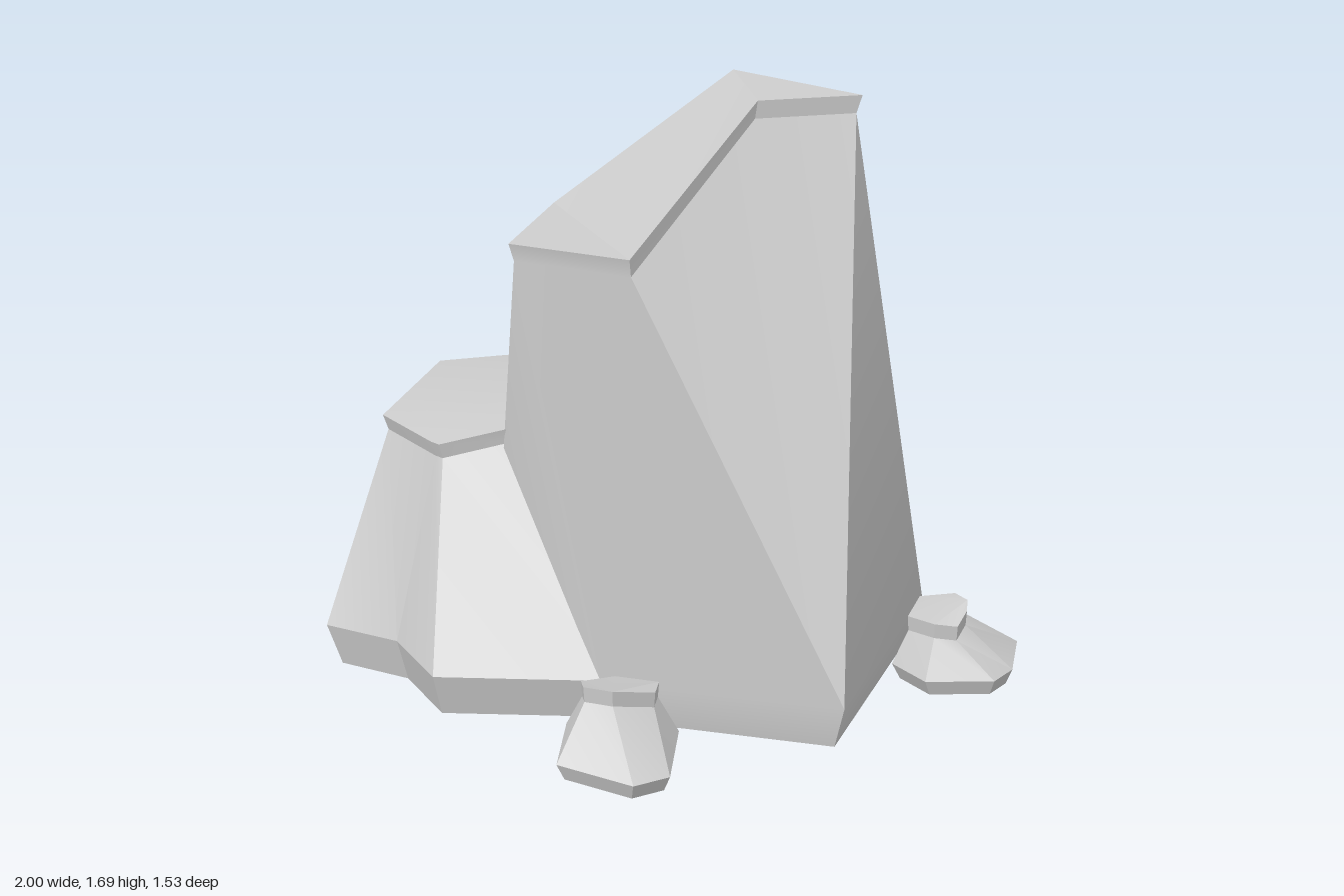
import * as THREE from 'three';
import { toCreasedNormals } from 'three/addons/utils/BufferGeometryUtils.js';

// Shrinks a ring of [x, y, z] corners towards its middle and sets new heights
function inset(ring, scale, height) {
  const cx = ring.reduce((s, p) => s + p[0], 0) / ring.length;
  const cz = ring.reduce((s, p) => s + p[2], 0) / ring.length;
  return ring.map(([x, y, z]) => [cx + (x - cx) * scale, height(y), cz + (z - cz) * scale]);
}

// A chiselled rock: cap rim, neck under the rim, widest ring, foot.
// Rings run back, right, front, left; "flipped" lists quads split the other way.
function rock(name, { cap, wide, wideY, neck, footScale, capFaces, fanFrom = 0, flipped = [] }) {
  const n = cap.length;
  const belt = wide.map(([x, z]) => [x, wideY, z]);
  const rings = [cap, inset(cap, 0.97, (y) => y - neck), belt, inset(belt, footScale, () => 0)];
  const pos = [];
  const tri = (a, b, c) => pos.push(...a, ...b, ...c);

  // Sides
  for (let r = 0; r < 3; r++) {
    for (let i = 0; i < n; i++) {
      const j = (i + 1) % n;
      const [a, b, c, d] = [rings[r][i], rings[r][j], rings[r + 1][j], rings[r + 1][i]];
      if (flipped.includes(i)) {
        tri(a, b, c);
        tri(a, c, d);
      } else {
        tri(a, b, d);
        tri(b, c, d);
      }
    }
  }

  // Top facets, fanned unless listed, and the flat underside
  const foot = rings[3];
  for (let k = 1; k < n - 1; k++) tri(foot[0], foot[k], foot[k + 1]);
  const faces = capFaces ?? Array.from({ length: n - 2 }, (_, k) =>
    [fanFrom, (fanFrom + k + 1) % n, (fanFrom + k + 2) % n]);
  for (const [a, b, c] of faces) tri(cap[c], cap[b], cap[a]);

  const geo = new THREE.BufferGeometry();
  geo.setAttribute('position', new THREE.Float32BufferAttribute(pos, 3));
  const mesh = new THREE.Mesh(toCreasedNormals(geo, 0.45),
    new THREE.MeshStandardMaterial({ color: 0xcccccc }));
  mesh.name = name;
  return mesh;
}

export function createModel() {
  const group = new THREE.Group();
  group.name = 'rockCluster';

  group.add(
    // Tall leaning rock with a slanted top
    rock('tallRock', {
      cap: [[0.06, 1.69, -0.4], [0.46, 1.66, -0.35], [0.22, 1.66, -0.17],
        [0.02, 1.3, 0.245], [-0.36, 1.29, 0.2], [-0.4, 1.31, -0.17]],
      wide: [[0.04, -0.55], [0.67, -0.45], [0.67, 0.3], [0, 0.41], [-0.42, 0.24], [-0.55, -0.23]],
      wideY: 0.13, neck: 0.05, footScale: 0.95,
      capFaces: [[0, 1, 2], [0, 2, 3], [0, 3, 5], [3, 4, 5]],
      flipped: [1],
    }),

    // Low broad rock leaning against it
    rock('lowRock', {
      cap: [[-0.38, 0.745, -0.59], [0.09, 0.75, -0.57], [0.15, 0.84, -0.2], [-0.34, 0.76, 0.2],
        [-0.55, 0.705, 0.29], [-0.58, 0.705, 0.28], [-0.8, 0.715, 0.17], [-0.84, 0.74, -0.25]],
      wide: [[-0.44, -0.77], [0.1, -0.61], [0.25, -0.2], [0.05, 0.39],
        [-0.44, 0.57], [-0.64, 0.42], [-0.88, 0.41], [-1, -0.32]],
      wideY: 0.13, neck: 0.045, footScale: 0.94, fanFrom: 2,
    }),

    // Small stones at the front and the side
    rock('frontPebble', {
      cap: [[0.07, 0.19, 0.47], [0.2, 0.2, 0.47], [0.21, 0.195, 0.52],
        [0.13, 0.23, 0.62], [0.04, 0.22, 0.61], [0, 0.195, 0.54]],
      wide: [[0.06, 0.41], [0.25, 0.45], [0.32, 0.68], [0.25, 0.76], [0.02, 0.74], [-0.05, 0.53]],
      wideY: 0.05, neck: 0.045, footScale: 0.88, fanFrom: 3,
    }),
    rock('sidePebble', {
      cap: [[0.7, 0.2, -0.31], [0.8, 0.22, -0.33], [0.85, 0.23, -0.28], [0.86, 0.215, -0.24],
        [0.85, 0.19, -0.18], [0.79, 0.2, -0.15], [0.7, 0.19, -0.19]],
      wide: [[0.68, -0.34], [0.87, -0.48], [0.97, -0.43], [1, -0.25],
        [0.97, -0.16], [0.79, -0.08], [0.67, -0.15]],
      wideY: 0.05, neck: 0.045, footScale: 0.88, fanFrom: 2,
    }),
  );
  return group;
}
